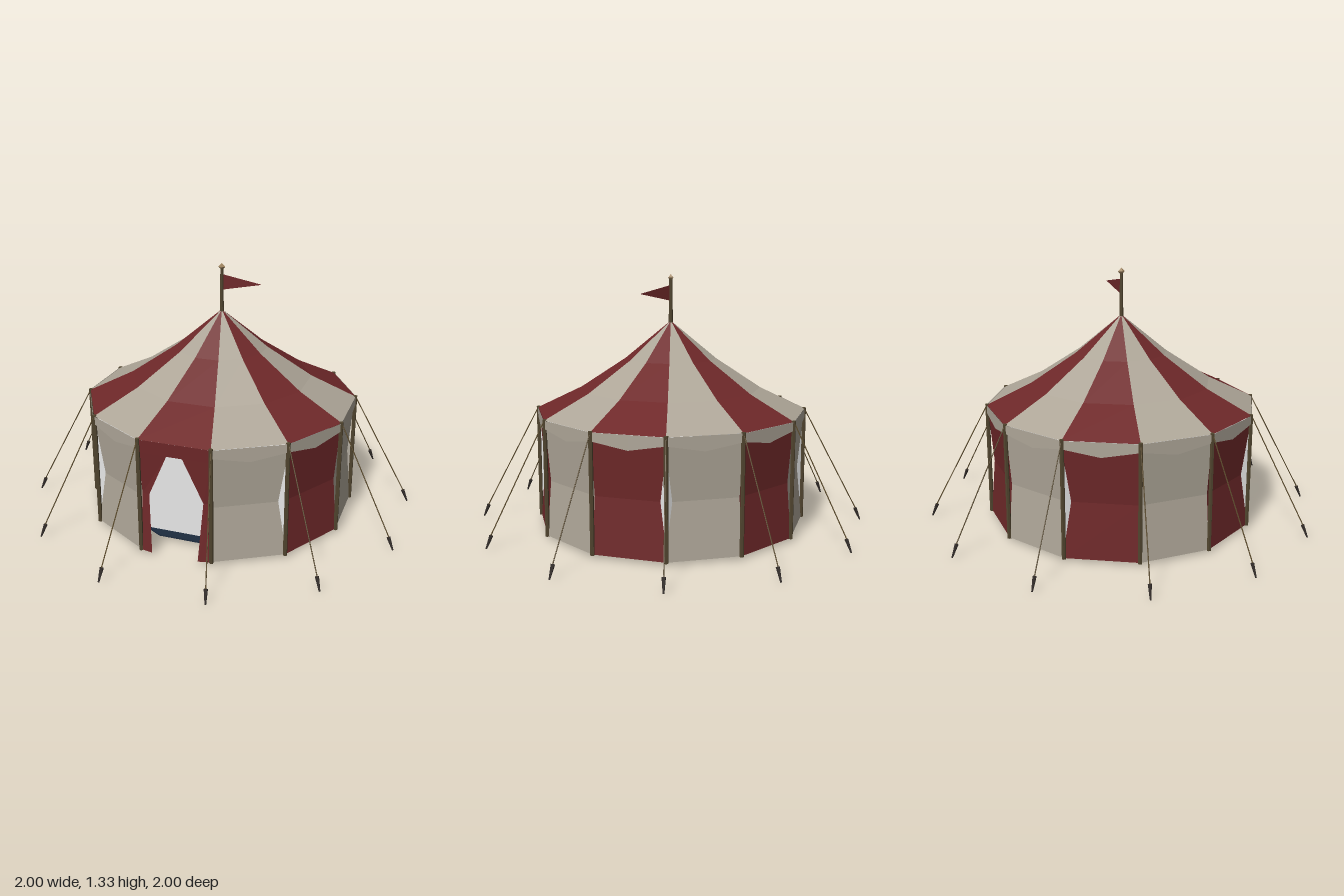
import * as THREE from 'three';

const mat = (name, color, side = THREE.FrontSide) => {
  const m = new THREE.MeshStandardMaterial({ color, side, flatShading: true });
  m.name = name;
  return m;
};

// point on a circle around the tent, angle in degrees measured from the front
const polar = (deg, r, y) => {
  const a = THREE.MathUtils.degToRad(deg);
  return new THREE.Vector3(Math.sin(a) * r, y, Math.cos(a) * r);
};

// faceted sheet from rows of points, bottom row first, each row left to right
function sheet(rows) {
  const pts = [];
  for (let i = 0; i < rows.length - 1; i++) {
    for (let j = 0; j < rows[i].length - 1; j++) {
      const a = rows[i][j], b = rows[i][j + 1], c = rows[i + 1][j + 1], d = rows[i + 1][j];
      pts.push(a, b, c, a, c, d);
    }
  }
  const g = new THREE.BufferGeometry().setFromPoints(pts);
  g.computeVertexNormals();
  return g;
}

export function createModel() {
  const model = new THREE.Group();
  model.name = 'stripedTent';

  const red = mat('red canvas', 0x6e2829, THREE.DoubleSide);
  const cream = mat('cream canvas', 0xaea698, THREE.DoubleSide);
  const white = mat('white lining', 0xffffff);
  const navy = mat('navy rug', 0x1c2b3e);
  const wood = mat('dark wood', 0x51452f);
  const rope = mat('rope', 0x5a4a2c);
  const iron = mat('dark stake', 0x332d2a);
  const brass = mat('finial tan', 0xa08560);

  const add = (name, geometry, material, parent = model) => {
    const m = new THREE.Mesh(geometry, material);
    m.name = name;
    parent.add(m);
    return m;
  };
  // tapered bar between two points
  const bar = (name, from, to, r0, r1, sides, material) => {
    const dir = to.clone().sub(from);
    const m = add(name, new THREE.CylinderGeometry(r1, r0, dir.length(), sides), material);
    m.position.copy(from).addScaledVector(dir, 0.5);
    m.quaternion.setFromUnitVectors(new THREE.Vector3(0, 1, 0), dir.normalize());
    return m;
  };

  const roofProfile = [[0.715, 0.615], [0.476, 0.73], [0.24, 0.885], [0.004, 1.08]];
  const wallProfile = [[0.712, 0.015], [0.687, 0.3], [0.712, 0.61]];

  // twelve striped bays
  for (let k = 0; k < 12; k++) {
    const mid = k * 30, left = mid - 15, right = mid + 15;
    const cloth = k % 2 ? cream : red;
    const rows = (profile) => profile.map(([r, y]) => [polar(left, r, y), polar(right, r, y)]);

    add('roofPanel', sheet(rows(roofProfile)), cloth);

    if (k > 0) {
      add('wallPanel', sheet(rows(wallProfile)), cloth);
      // pointed valance under the eave
      const apothem = 0.718 * Math.cos(Math.PI / 12);
      add('valance', sheet([
        [polar(left, 0.718, 0.573), polar(mid, apothem, 0.54), polar(right, 0.718, 0.573)],
        [polar(left, 0.718, 0.615), polar(mid, apothem, 0.615), polar(right, 0.718, 0.615)],
      ]), cream);
    }

    // corner post, guy rope and stake
    bar('cornerPost', polar(right, 0.713, 0.012), polar(right, 0.713, 0.62), 0.011, 0.011, 6, wood);
    bar('guyRope', polar(right, 0.715, 0.615), polar(right, 1.015, 0.05), 0.003, 0.003, 5, rope);
    bar('stake', polar(right, 1.033, 0), polar(right, 1.005, 0.065), 0.004, 0.01, 6, iron);
  }

  // doorway: two curtains and the cloth above them
  const v = (x, y, z) => new THREE.Vector3(x, y, z);
  for (const s of [-1, 1]) {
    const inner = [v(s * 0.12, 0.015, 0.705), v(s * 0.14, 0.32, 0.672), v(s * 0.04, 0.545, 0.686)];
    const outer = [v(s * 0.185, 0.015, 0.692), v(s * 0.178, 0.32, 0.666), v(s * 0.184, 0.545, 0.686)];
    const rows = inner.map((p, i) => (s > 0 ? [p, outer[i]] : [outer[i], p]));
    add(s > 0 ? 'leftDoorCurtain' : 'rightDoorCurtain', sheet(rows), red);
  }
  add('doorHeader', sheet([
    [v(-0.184, 0.545, 0.686), v(0.184, 0.545, 0.686)],
    [v(-0.185, 0.615, 0.691), v(0.185, 0.615, 0.691)],
  ]), red);

  // inner room and rug
  const room = add('innerRoom', new THREE.BoxGeometry(1, 0.575, 1), white);
  room.position.y = 0.3025;
  const rug = add('rug', new THREE.CylinderGeometry(0.57, 0.57, 0.008, 12), navy);
  rug.rotation.y = Math.PI / 12;
  rug.position.y = 0.022;

  // flagpole, finial and pennant
  bar('flagpole', v(0, 1.03, 0), v(0, 1.3, 0), 0.012, 0.008, 8, wood);
  add('finial', new THREE.OctahedronGeometry(0.019), brass).position.y = 1.307;
  add('pennant', sheet([
    [v(0.006, 1.188, 0), v(0.21, 1.229, 0)],
    [v(0.006, 1.268, 0), v(0.21, 1.231, 0)],
  ]), red);

  return model;
}
